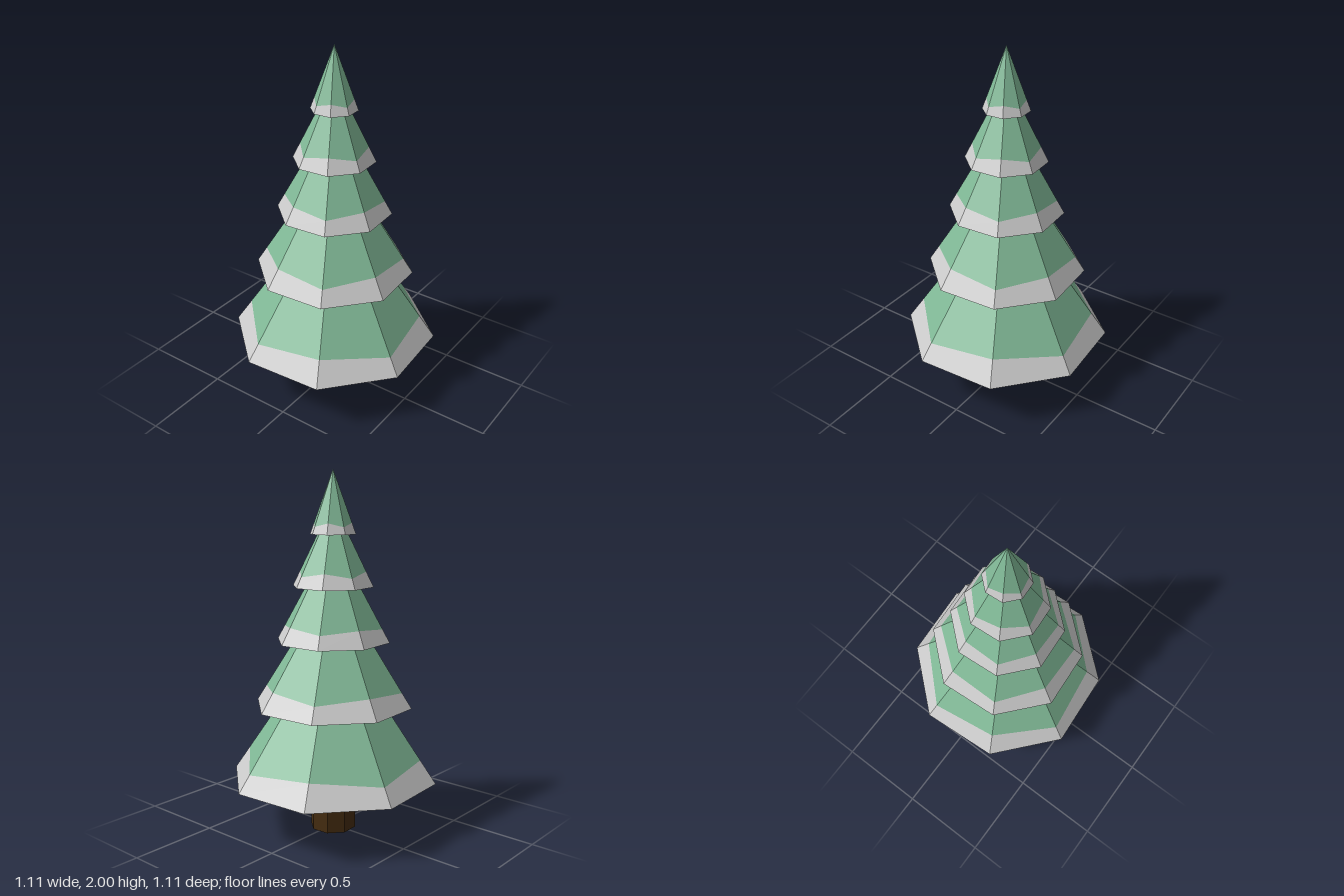
import * as THREE from 'three';

const SIDES = 8;
const TURN = THREE.MathUtils.degToRad(26.3); // angle of the first corner

const material = (color) => new THREE.MeshStandardMaterial({ color, flatShading: true });

// base height, apex height, corner radius, snow line at even corners, at odd corners
const TIERS = [
  [0.30, 1.16, 0.585, 0.43, 0.395],
  [0.72, 1.42, 0.443, 0.805, 0.83],
  [1.08, 1.65, 0.317, 1.153, 1.172],
  [1.38, 1.83, 0.225, 1.463, 1.438],
  [1.66, 2.00, 0.127, 1.72, 1.70],
];

// Open eight-sided strip of a cone between two height rules (corner index -> y)
function coneStrip(topY, bottomY, radiusAt) {
  const geometry = new THREE.CylinderGeometry(1, 1, 1, SIDES, 1, true, TURN);
  const pos = geometry.attributes.position;
  for (let i = 0; i < pos.count; i++) {
    const corner = i % (SIDES + 1);
    const y = i <= SIDES ? topY(corner) : bottomY(corner);
    const r = radiusAt(y);
    pos.setXYZ(i, pos.getX(i) * r, y, pos.getZ(i) * r);
  }
  geometry.computeVertexNormals();
  return geometry;
}

export function createModel() {
  const tree = new THREE.Group();
  tree.name = 'snowyFirTree';
  const green = material(0x80b896);
  const snow = material(0xcccccc);
  const bark = material(0x442c10);

  const add = (parent, name, geometry, mat) => {
    const mesh = new THREE.Mesh(geometry, mat);
    mesh.name = name;
    parent.add(mesh);
    return mesh;
  };

  // Trunk
  const trunk = new THREE.CylinderGeometry(0.129, 0.129, 0.3, SIDES, 1, false, TURN);
  add(tree, 'trunk', trunk, bark).position.y = 0.15;

  // Stacked branch tiers, each with a zigzag snow rim and a closed underside
  TIERS.forEach(([base, apex, radius, even, odd], n) => {
    const tier = new THREE.Group();
    tier.name = `branchTier${n + 1}`;
    const radiusAt = (y) => radius * (apex - y) / (apex - base);
    const snowLine = (corner) => (corner % 2 ? odd : even);

    add(tier, 'branches', coneStrip(() => apex, snowLine, radiusAt), green);
    add(tier, 'snowRim', coneStrip(snowLine, () => base, radiusAt), snow);

    const disc = new THREE.CircleGeometry(radius, SIDES, Math.PI / 2 - TURN);
    disc.rotateX(Math.PI / 2);
    add(tier, 'underside', disc, green).position.y = base;
    tree.add(tier);
  });

  return tree;
}
